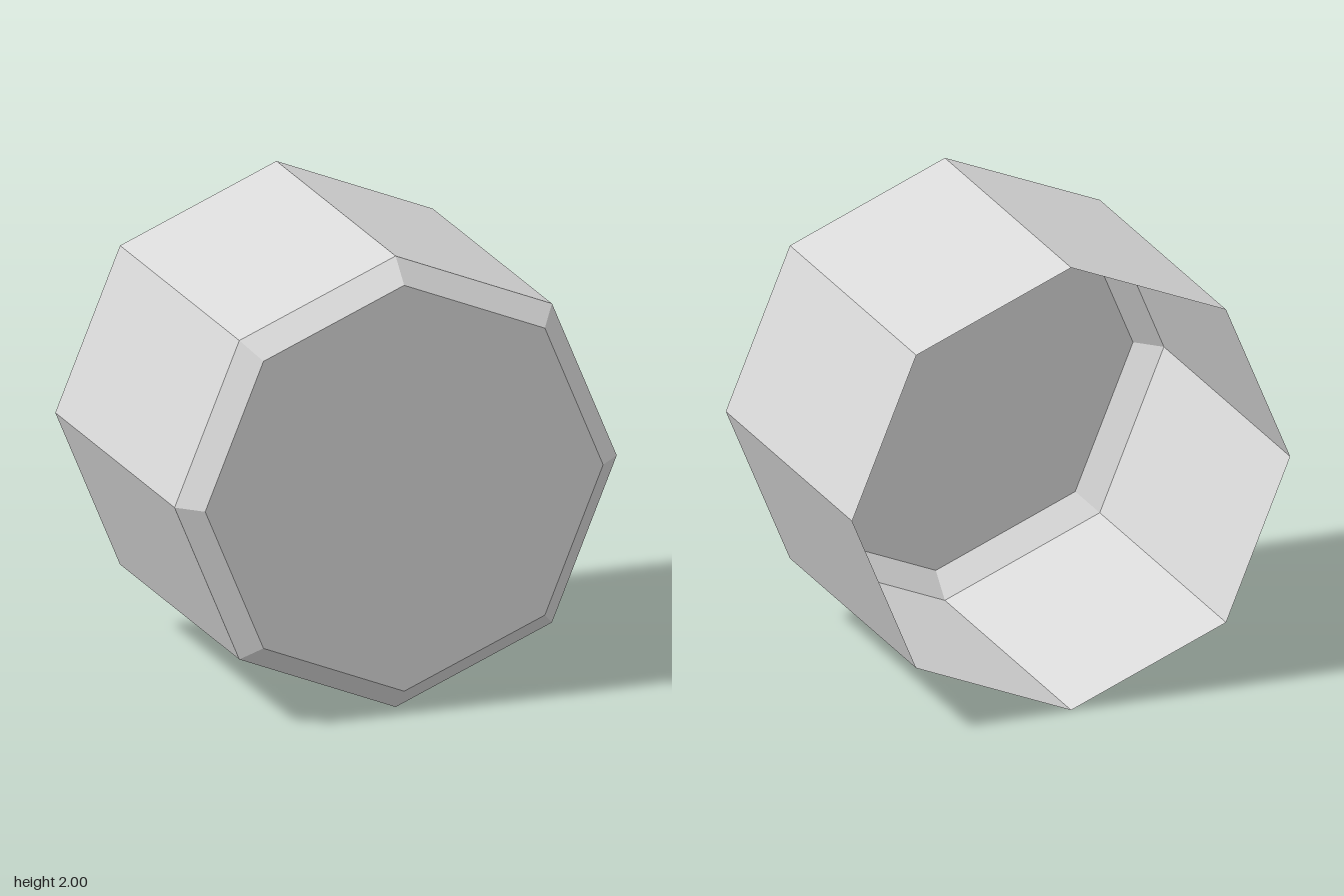
import * as THREE from 'three';

const SIDES = 8;

export function createModel() {
  const group = new THREE.Group();
  group.name = 'octagonalCup';

  const shell = new THREE.MeshStandardMaterial({ color: 0xd8d8d8, flatShading: true, side: THREE.DoubleSide });
  shell.name = 'light grey';

  const add = (name, geometry, z) => {
    const mesh = new THREE.Mesh(geometry, shell);
    mesh.name = name;
    mesh.position.set(0, 1, z);
    group.add(mesh);
  };

  // Open eight-sided ring along z, from backZ to frontZ
  const addRing = (name, frontRadius, backRadius, backZ, frontZ) => {
    const ring = new THREE.CylinderGeometry(frontRadius, backRadius, frontZ - backZ, SIDES, 1, true);
    ring.rotateX(Math.PI / 2);
    add(name, ring, (frontZ + backZ) / 2);
  };

  // Thin side walls, open at the back
  addRing('sideWall', 1, 1, -0.75, 0.65);
  // Bevelled front rim
  addRing('frontBevel', 0.9, 1, 0.65, 0.75);
  // Flat front face
  add('frontFace', new THREE.CircleGeometry(0.9, SIDES), 0.75);

  return group;
}
